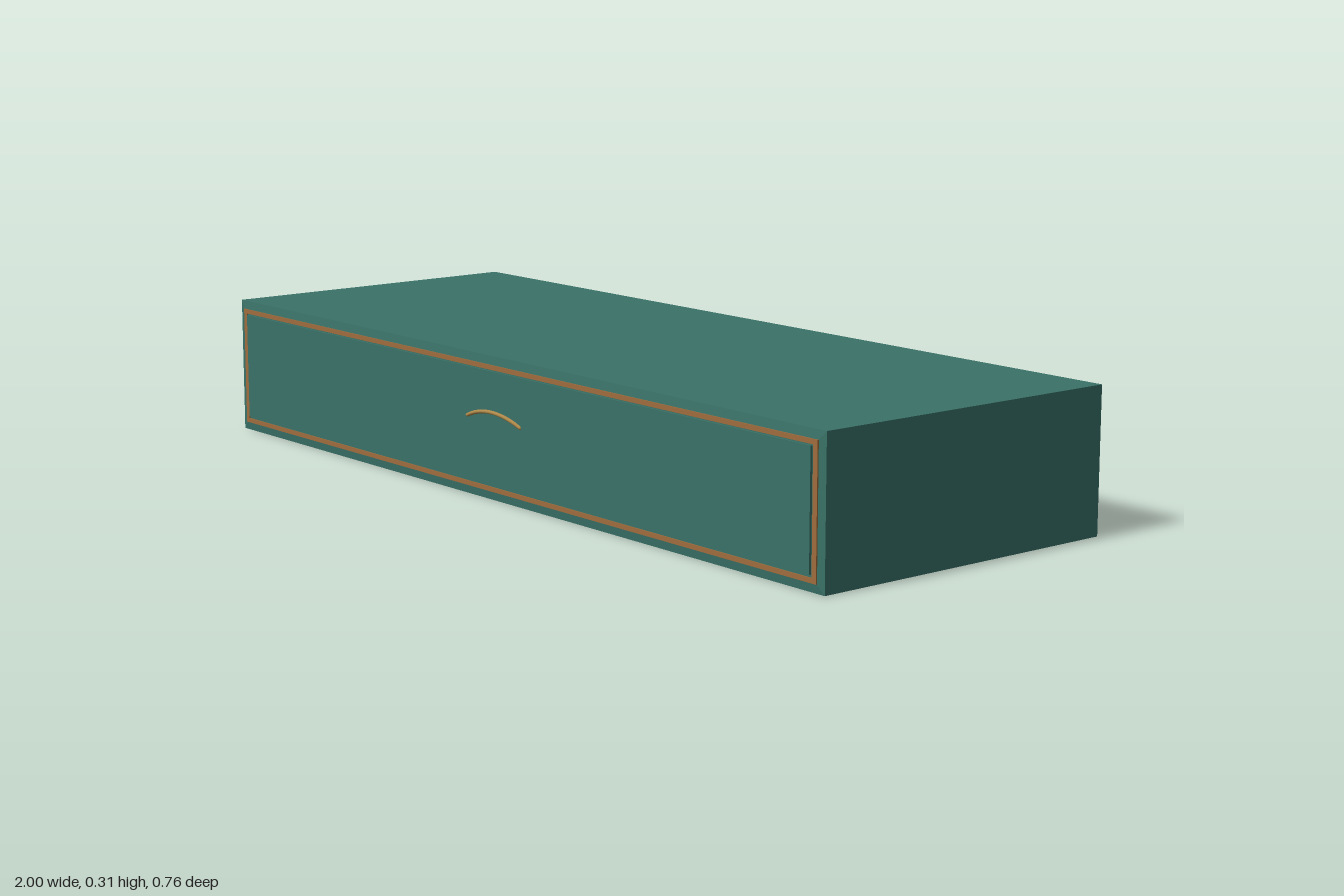
import * as THREE from 'three';

const teal = new THREE.MeshStandardMaterial({ color: 0x3a7268 });
const copper = new THREE.MeshStandardMaterial({ color: 0xa06c3c });
const brass = new THREE.MeshStandardMaterial({ color: 0xb08a4a });

const MID_Y = 0.1525; // middle height of the case

// Points of a rectangle centred on the case face
function rectangle(Type, halfW, halfH) {
  return new Type([[-1, -1], [1, -1], [1, 1], [-1, 1]].map(
    ([x, y]) => new THREE.Vector2(x * halfW, MID_Y + y * halfH)));
}

function addMesh(parent, name, geometry, material) {
  const mesh = new THREE.Mesh(geometry, material);
  mesh.name = name;
  parent.add(mesh);
  return mesh;
}

// Trim, raised panel and pull for one long face
function createDrawerFace() {
  const face = new THREE.Group();

  // Thin metal border
  const border = rectangle(THREE.Shape, 0.982, 0.134);
  border.holes.push(rectangle(THREE.Path, 0.97, 0.124));
  const trim = addMesh(face, 'trim',
    new THREE.ExtrudeGeometry(border, { depth: 0.006, bevelEnabled: false }), copper);
  trim.position.z = 0.3655;

  // Raised drawer panel
  const panel = addMesh(face, 'drawerPanel', new THREE.BoxGeometry(1.932, 0.24, 0.01), teal);
  panel.position.set(0, MID_Y + 0.0015, 0.369);

  // Arched pull leaning outwards towards its crown
  const points = [];
  for (let i = 0; i <= 8; i++) {
    const t = i / 4 - 1;
    const rise = 1 - t * t;
    points.push(new THREE.Vector3(0.092 * t, 0.17 + 0.019 * rise, 0.373 + 0.005 * rise));
  }
  addMesh(face, 'handle',
    new THREE.TubeGeometry(new THREE.CatmullRomCurve3(points), 24, 0.0042, 8), brass);
  for (const end of [points[0], points[8]]) {
    const cap = addMesh(face, 'handleEnd', new THREE.SphereGeometry(0.0042, 8, 6), brass);
    cap.position.copy(end);
  }
  return face;
}

export function createModel() {
  const model = new THREE.Group();
  model.name = 'drawerUnit';

  // Case with shallow bevels round its front and back
  const body = new THREE.ExtrudeGeometry(rectangle(THREE.Shape, 0.98, 0.1325), {
    depth: 0.732, bevelEnabled: true, bevelSize: 0.02, bevelThickness: 0.003, bevelSegments: 1,
  });
  body.translate(0, 0, -0.366);
  addMesh(model, 'case', body, teal);

  // Same drawer face on the front and the back
  const front = createDrawerFace();
  front.name = 'frontDrawer';
  const back = createDrawerFace();
  back.name = 'backDrawer';
  back.rotation.y = Math.PI;
  model.add(front, back);
  return model;
}
